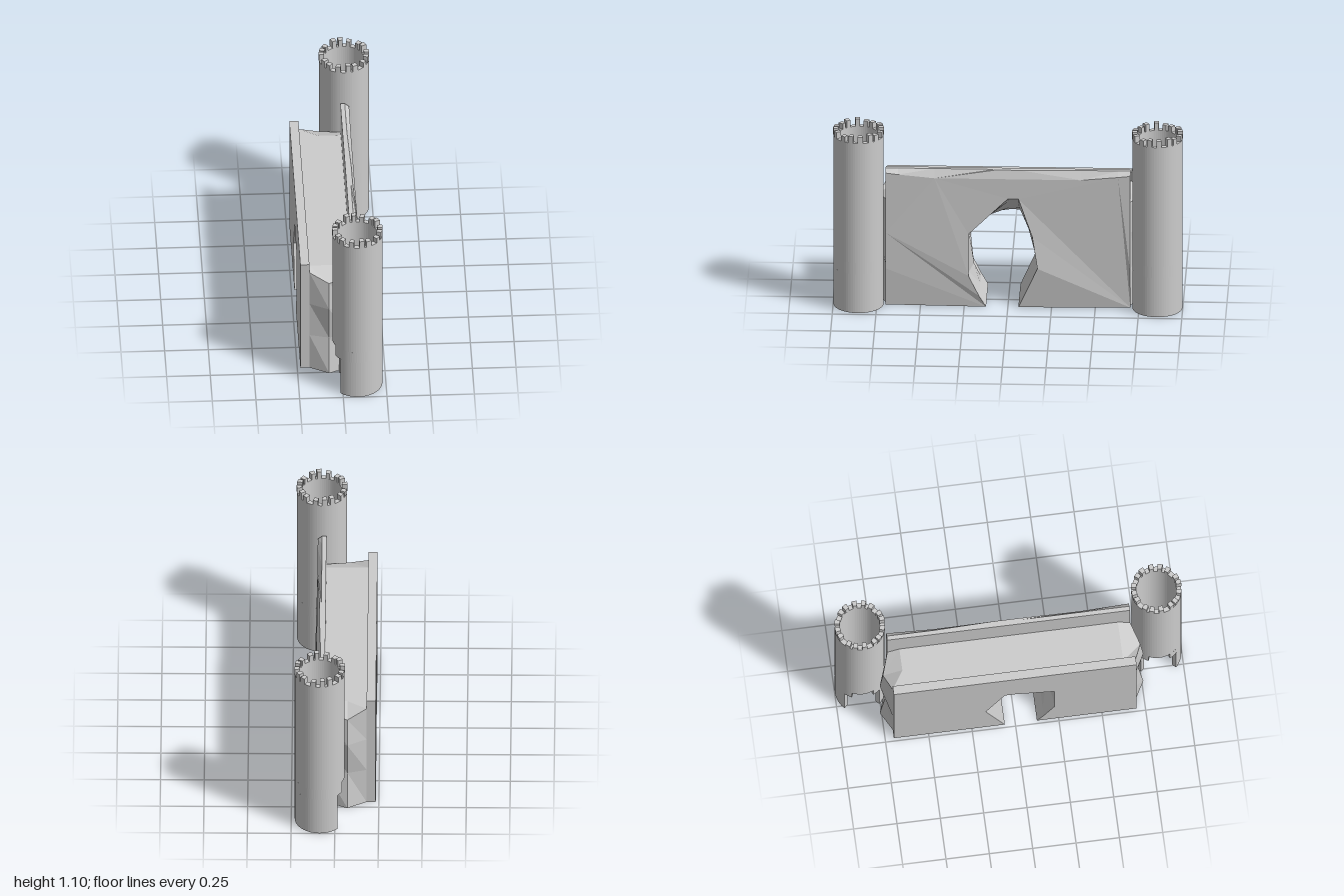
import * as THREE from 'three';

const stone = new THREE.MeshStandardMaterial({ color: 0xcccccc, flatShading: true, side: THREE.DoubleSide });

// Wall cross-sections along x: height of the top, height at the ends, bulge of the ends,
// arch shape (0 = low back arch, 1 = tall front arch) and pinch of the arch side
const sections = [
  { x: -0.232, top: 0.727, end: 0.727, bulge: 0, arch: 0, pinch: 0 },
  { x: -0.18, top: 0.727, end: 0.727, bulge: 0, arch: 0, pinch: 0 },
  { x: -0.18, top: 0.67, end: 0.67, bulge: 0, arch: 0, pinch: 0 },
  { x: -0.07, top: 0.67, end: 0.62, bulge: 0.06, arch: 0.3, pinch: 0.025 },
  { x: 0.06, top: 0.67, end: 0.64, bulge: 0, arch: 0.8, pinch: 0 },
  { x: 0.06, top: 0.842, end: 0.842, bulge: 0, arch: 0.8, pinch: 0 },
  { x: 0.085, top: 0.842, end: 0.842, bulge: 0, arch: 0.9, pinch: 0 },
  { x: 0.11, top: 0.842, end: 0.82, bulge: 0, arch: 1, pinch: 0, front: true },
];

// One closed outline: end, top, other end, then back through the arch
function outline({ x, top, end, bulge, arch, pinch, front }) {
  const chip = front ? 0.05 : 0;
  const mix = (a, b) => a + (b - a) * arch;
  const side = [
    [0.7 + bulge, 0, front ? -0.015 : 0], [0.7 + bulge * 0.5, 0.23, 0], [0.7 + bulge, 0.45, 0], [0.7 + bulge * 0.7, end, 0],
    [0.63, top - chip * 0.6, 0], [0.42, top - chip, 0], [0.07, top, front ? -0.015 : 0],
  ];
  const mirrored = side.map(([z, y, dx]) => [-z, y, dx]).reverse();
  const f = front ? 1 : 0;
  const archway = [
    [-0.06, 0, 0], [-0.17, 0.25, 0.027 * f], [mix(-0.1, -0.14), mix(0.4, 0.44), 0.01 * f],
    [-0.06, mix(0.485, 0.67), 0], [0, mix(0.485, 0.67), 0],
    [0.225, 0.45, 0.005 * f], [0.225 - pinch, 0.195, 0.015 * f], [0.165, 0.07, 0.01 * f], [0.125, 0, 0],
  ];
  return [...side, ...mirrored, ...archway].map(([z, y, dx]) => new THREE.Vector3(x + dx, y, z));
}

function buildWall() {
  const loops = sections.map(outline);
  const n = loops[0].length;
  const index = [];
  for (let s = 0; s < loops.length - 1; s++) {
    for (let i = 0; i < n; i++) {
      const j = (i + 1) % n;
      const a = s * n + i, b = a + n, c = s * n + j, d = c + n;
      index.push(a, b, c, b, d, c);
    }
  }
  // Flat faces at the back and front of the wall
  const cap = (s, facing) => {
    const pts = loops[s].map((p) => new THREE.Vector2(-p.z, p.y));
    for (const [a, b, c] of THREE.ShapeUtils.triangulateShape(pts, [])) {
      const area = THREE.ShapeUtils.area([pts[a], pts[b], pts[c]]);
      const t = area * facing > 0 ? [a, b, c] : [a, c, b];
      index.push(...t.map((k) => s * n + k));
    }
  };
  cap(0, -1);
  cap(loops.length - 1, 1);
  const geo = new THREE.BufferGeometry().setFromPoints(loops.flat());
  geo.setIndex(index);
  const flat = geo.toNonIndexed();
  flat.computeVertexNormals();
  const mesh = new THREE.Mesh(flat, stone);
  mesh.name = 'gateWall';
  return mesh;
}

const R = 0.143, r = 0.115;

// Upright piece of a ring, spanning angles a0..a1 and heights y0..y1
function ringPiece(name, a0, a1, y0, y1, outer = R, segments = 32) {
  const shape = new THREE.Shape();
  shape.absarc(0, 0, outer, a0, a1, false);
  if (a1 - a0 > 6.28) {
    shape.holes.push(new THREE.Path().absarc(0, 0, r, 0, Math.PI * 2, true));
  } else {
    shape.absarc(0, 0, r, a1, a0, true);
    shape.closePath();
  }
  const geo = new THREE.ExtrudeGeometry(shape, { depth: y1 - y0, bevelEnabled: false, curveSegments: segments });
  geo.rotateX(-Math.PI / 2);
  geo.translate(0, y0, 0);
  const mesh = new THREE.Mesh(geo, stone);
  mesh.name = name;
  return mesh;
}

function buildTower(name) {
  const tower = new THREE.Group();
  tower.name = name;
  // Shell with a broken opening at the foot, facing -x
  const gap = (half) => [-Math.PI + half, Math.PI - half];
  tower.add(ringPiece('towerFoot', ...gap(0.78), 0, 0.24, R, 24));
  tower.add(ringPiece('towerBreak', ...gap(0.45), 0.24, 0.31, R, 28));
  tower.add(ringPiece('towerShaft', 0, Math.PI * 2, 0.31, 1.05));
  // Crenellations of slightly uneven height
  const count = 16, step = (Math.PI * 2) / count;
  for (let i = 0; i < count; i++) {
    const a = i * step + 0.06 * Math.sin(i * 2.3);
    const height = 1.09 + 0.007 * Math.sin(i * 1.7);
    tower.add(ringPiece('merlon', a, a + step * 0.52, 1.05, height, R + 0.002, 2));
  }
  return tower;
}

export function createModel() {
  const model = new THREE.Group();
  model.name = 'castleGate';
  model.add(buildWall());
  for (const side of [1, -1]) {
    const tower = buildTower(side > 0 ? 'frontTower' : 'backTower');
    tower.position.set(0.087, 0, side * 0.855);
    model.add(tower);
  }
  return model;
}
